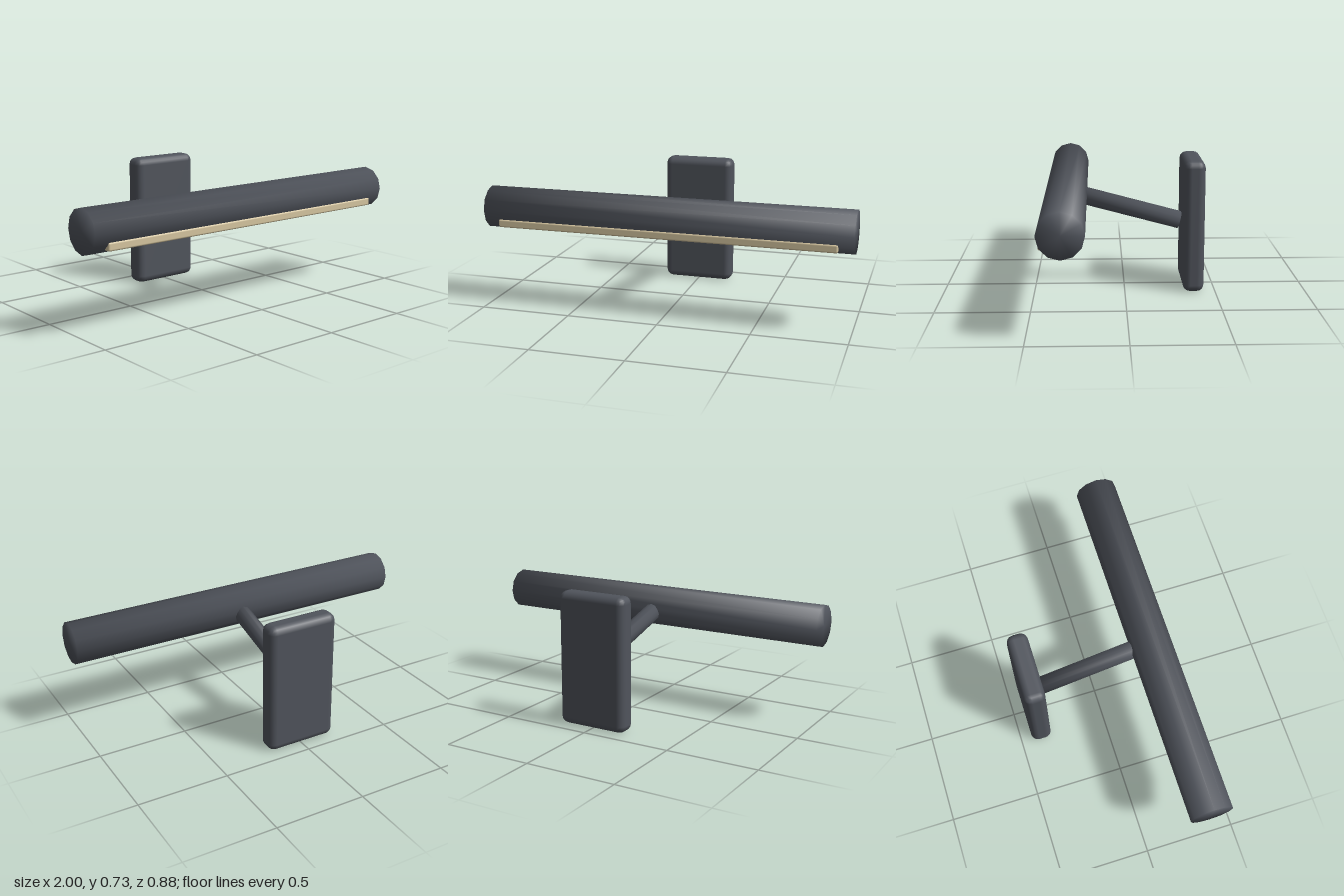
import * as THREE from 'three';
import { RoundedBoxGeometry } from 'three/addons/geometries/RoundedBoxGeometry.js';

// Low-sided rod along y whose shading rolls softly over the end rims
function softRod(radius, length) {
  const geo = new THREE.CylinderGeometry(radius, radius, length, 12);
  const pos = geo.attributes.position;
  const n = new THREE.Vector3();
  for (let i = 0; i < pos.count; i++) {
    n.set(pos.getX(i) / radius, 0.85 * Math.sign(pos.getY(i)), pos.getZ(i) / radius).normalize();
    geo.attributes.normal.setXYZ(i, n.x, n.y, n.z);
  }
  return geo;
}

export function createModel() {
  const model = new THREE.Group();
  model.name = 'wallPictureLight';

  const metal = new THREE.MeshStandardMaterial({ color: 0x50545c });
  metal.name = 'darkGreyMetal';
  const glow = new THREE.MeshStandardMaterial({ color: 0xd6c6a0 });
  glow.name = 'warmDiffuser';

  const add = (name, geometry, material, x, y, z) => {
    const mesh = new THREE.Mesh(geometry, material);
    mesh.name = name;
    mesh.position.set(x, y, z);
    model.add(mesh);
    return mesh;
  };

  // Wall plate at the back
  add('wallPlate', new RoundedBoxGeometry(0.4, 0.733, 0.116, 2, 0.04), metal, 0, 0.3675, -0.379);

  // Horizontal lamp tube
  const lampCentre = new THREE.Vector3(0, 0.535, 0.322);
  const tube = add('lampTube', softRod(0.116, 2), metal, ...lampCentre.toArray());
  tube.rotation.z = -Math.PI / 2;

  // Sloping arm from the plate into the tube
  const armBack = new THREE.Vector3(0, 0.37, -0.311);
  const armFront = new THREE.Vector3(0, 0.527, 0.275);
  const along = armFront.clone().sub(armBack);
  const middle = armBack.clone().lerp(armFront, 0.5);
  const arm = add('arm', softRod(0.05, along.length()), metal, ...middle.toArray());
  arm.quaternion.setFromUnitVectors(new THREE.Vector3(0, 1, 0), along.normalize());

  // Light strip set into the lower front of the tube
  add('lightStrip', new RoundedBoxGeometry(1.84, 0.045, 0.06, 2, 0.01), glow, 0, 0.467, 0.4);

  return model;
}
